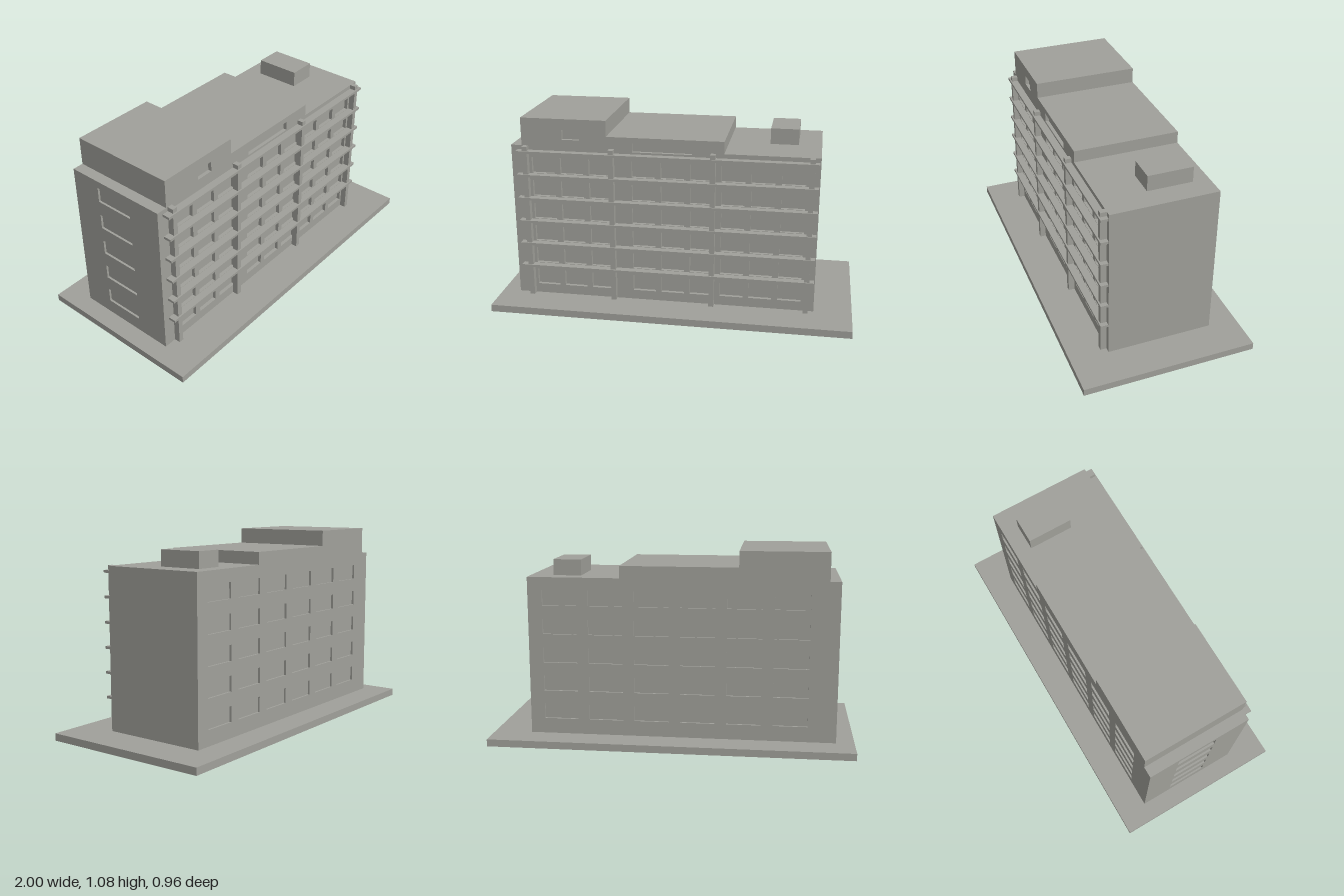
import * as THREE from 'three';

const concrete = new THREE.MeshStandardMaterial({ color: 0xa0a09a });
concrete.name = 'concrete grey';

// Main block limits
const X0 = -0.9, X1 = 0.79, Y0 = 0.04, Y1 = 0.92, Z0 = -0.32, Z1 = 0.268;
const FRONT = 0.02, THIN = 0.012; // window recess depths

function addMesh(parent, name, geometry) {
  const mesh = new THREE.Mesh(geometry, concrete);
  mesh.name = name;
  parent.add(mesh);
  return mesh;
}

function addBox(parent, name, x0, x1, y0, y1, z0, z1) {
  const mesh = addMesh(parent, name, new THREE.BoxGeometry(x1 - x0, y1 - y0, z1 - z0));
  mesh.position.set((x0 + x1) / 2, (y0 + y1) / 2, (z0 + z1) / 2);
}

function rectPoints(x, y, w, h) {
  return [[x, y], [x + w, y], [x + w, y + h], [x, y + h]].map(p => new THREE.Vector2(...p));
}

// Wall panel with rectangular window openings
function wallGeometry(outline, windows, depth) {
  const shape = new THREE.Shape(outline);
  for (const w of windows) shape.holes.push(new THREE.Path(rectPoints(...w).reverse()));
  return new THREE.ExtrudeGeometry(shape, { depth, bevelEnabled: false });
}

function windowGrid(xs, firstY, pitch, rows, w, h) {
  const list = [];
  for (let r = 0; r < rows; r++) for (const x of xs) list.push([x, firstY + r * pitch, w, h]);
  return list;
}

export function createModel() {
  const model = new THREE.Group();
  model.name = 'officeBuilding';

  // Ground slab, inner core and roof volumes
  addBox(model, 'baseSlab', -1, 1, 0, Y0, -0.48, 0.48);
  addBox(model, 'core', X0 + THIN, X1, Y0, Y1, Z0 + THIN, Z1 - FRONT);
  addBox(model, 'tallRoofBlock', -0.84, -0.363, Y1, 1.075, Z0, Z1 - FRONT);
  addBox(model, 'lowRoofBlock', -0.363, 0.28, Y1, 0.987, Z0, Z1 - FRONT);
  addBox(model, 'roofHut', 0.508, 0.663, Y1, 1.008, -0.23, 0.02);

  // Front wall, with the stepped skyline of the roof blocks
  const skyline = [
    [X0, Y0], [X1, Y0], [X1, Y1], [0.28, Y1], [0.28, 0.987],
    [-0.363, 0.987], [-0.363, 1.075], [-0.84, 1.075], [-0.84, Y1], [X0, Y1],
  ].map(p => new THREE.Vector2(...p));
  const frontXs = [];
  for (const start of [-0.787, -0.225, 0.267]) {
    for (let i = 0; i < 3; i++) frontXs.push(start + i * 0.161);
  }
  const frontWindows = windowGrid(frontXs, 0.094, 0.134, 6, 0.128, 0.091);
  frontWindows.push([-0.61, 0.96, 0.097, 0.056], [-0.22, 0.907, 0.327, 0.05]);
  addMesh(model, 'frontWall', wallGeometry(skyline, frontWindows, FRONT)).position.z = Z1 - FRONT;

  // Back wall
  const backXs = [0, 1, 2, 3, 4, 5].map(i => -0.745 + i * 0.253);
  addMesh(model, 'backWall', wallGeometry(
    rectPoints(X0, Y0, X1 - X0, Y1 - Y0),
    windowGrid(backXs, 0.125, 0.16, 5, 0.19, 0.085), THIN)).position.z = Z0;

  // Windowed end wall; local x runs along z after the turn
  const endWall = addMesh(model, 'endWall', wallGeometry(
    rectPoints(Z0 + THIN, Y0, Z1 - FRONT - Z0 - THIN, Y1 - Y0),
    windowGrid([-0.148], 0.122, 0.168, 5, 0.223, 0.085), THIN));
  endWall.rotation.y = -Math.PI / 2;
  endWall.position.x = X0 + THIN;

  // Vertical fins and horizontal sunshades on the front
  const screen = new THREE.Group();
  screen.name = 'sunScreen';
  model.add(screen);
  for (const x of [-0.83, -0.348, 0.208, 0.732]) {
    addBox(screen, 'verticalFin', x, x + 0.028, Y0, Y1, Z1, 0.302);
  }
  for (let i = 0; i < 6; i++) {
    const y = 0.219 + i * 0.134;
    addBox(screen, 'sunshade', -0.865, 0.785, y - 0.007, y + 0.007, Z1, 0.31);
  }
  return model;
}
